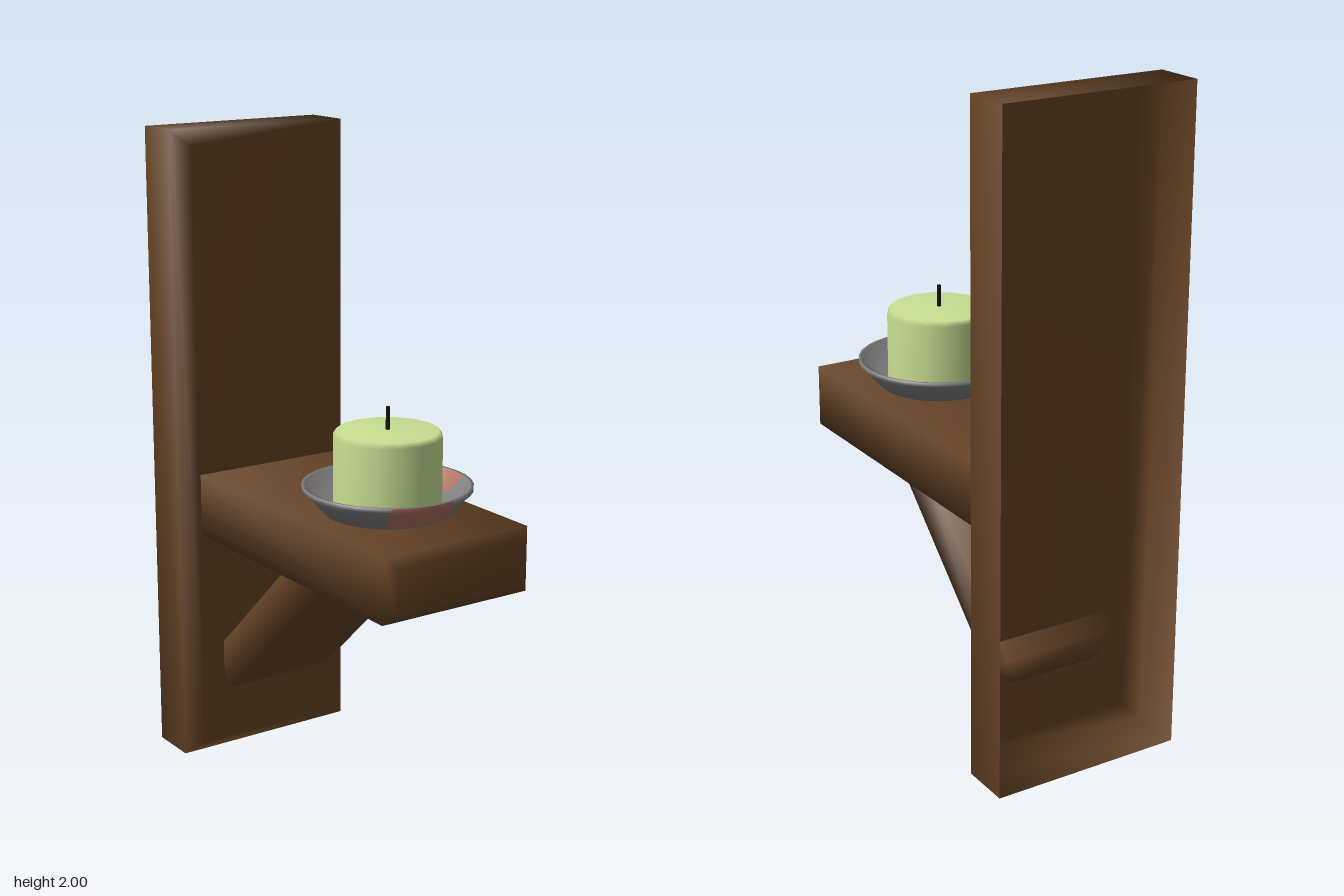
import * as THREE from 'three';

const material = (name, color, side = THREE.FrontSide) => {
  const m = new THREE.MeshStandardMaterial({ color, side });
  m.name = name;
  return m;
};

// Rectangular block lofted along z from rings of [inset, z]; corners share smooth normals.
function block(w, h, rings, closeBack) {
  const pos = [], idx = [];
  for (const [inset, z] of rings) {
    const x = w / 2 - inset, y = h / 2 - inset;
    pos.push(-x, -y, z, x, -y, z, x, y, z, -x, y, z);
  }
  for (let i = 0; i < rings.length - 1; i++) {
    for (let j = 0; j < 4; j++) {
      const a = i * 4 + j, b = i * 4 + (j + 1) % 4;
      idx.push(a, b, b + 4, a, b + 4, a + 4);
    }
  }
  const n = (rings.length - 1) * 4;
  idx.push(n, n + 1, n + 2, n, n + 2, n + 3);
  if (closeBack) idx.push(0, 2, 1, 0, 3, 2);
  const g = new THREE.BufferGeometry();
  g.setAttribute('position', new THREE.Float32BufferAttribute(pos, 3));
  g.setIndex(idx);
  g.computeVertexNormals();
  return g;
}

const lathe = (points, segments, from = 0, sweep = 360) =>
  new THREE.LatheGeometry(points.map(([r, y]) => new THREE.Vector2(r, y)), segments,
    THREE.MathUtils.degToRad(from), THREE.MathUtils.degToRad(sweep));

export function createModel() {
  const model = new THREE.Group();
  model.name = 'wallCandleShelf';
  const wood = material('brown wood', 0x644225, THREE.DoubleSide);
  const metal = material('grey metal', 0x808080);
  const rust = material('rust red', 0xb07060);
  const wax = material('pale green wax', 0xc8df92);
  const char = material('dark wick', 0x1c140c);

  const add = (parent, name, geometry, mat, x = 0, y = 0, z = 0) => {
    const mesh = new THREE.Mesh(geometry, mat);
    mesh.name = name;
    mesh.position.set(x, y, z);
    parent.add(mesh);
    return mesh;
  };

  // Backboard: hollow shell, open toward the wall, chamfered in front
  add(model, 'backboard', block(0.61, 2, [[0, -0.6], [0, -0.445], [0.045, -0.4]], false), wood, 0, 1, 0);

  // Shelf with chamfered front edge
  add(model, 'shelf', block(0.505, 0.195, [[0, -0.4], [0, 0.57], [0.03, 0.6]], false), wood, 0, 0.845, 0);

  // Slanted brace, chamfered at both ends, lower end pokes through the backboard
  const half = 0.378, c = 0.042;
  const brace = add(model, 'brace',
    block(0.36, 0.133, [[c, -half], [0, c - half], [0, half - c], [c, half]], true), wood, 0, 0.515, -0.155);
  brace.rotation.x = -0.755;

  // Candle and its dish share one centre
  const candleSet = new THREE.Group();
  candleSet.name = 'candleAndDish';
  candleSet.position.z = 0.24;
  model.add(candleSet);

  add(candleSet, 'dish', lathe([[0, 0.945], [0.186, 0.95], [0.235, 1.005], [0.25, 1.018],
    [0.25, 1.03], [0.24, 1.03], [0.17, 0.965], [0, 0.965]], 32), metal);

  // Rust patches: [start angle, sweep, inner radius, outer radius] on the inside slope
  const innerY = r => 0.968 + (r - 0.17) * 0.93;
  for (const [from, sweep, r0, r1] of [
    [-33, 45, 0.2, 0.24], [-112, 37, 0.18, 0.235], [75, 35, 0.187, 0.238],
    [110, 33, 0.175, 0.213], [187, 10, 0.17, 0.185],
  ]) {
    add(candleSet, 'innerRustPatch', lathe([[r1, innerY(r1)], [r0, innerY(r0)]], 8, from, sweep), rust);
  }
  // Rust patches on the outside slope
  const outerY = r => 0.95 + (r - 0.189) * 1.12;
  for (const [from, sweep, r0, r1] of [[-36, 52, 0.194, 0.238], [52, 14, 0.222, 0.238]]) {
    add(candleSet, 'outerRustPatch', lathe([[r0, outerY(r0)], [r1, outerY(r1)]], 8, from, sweep), rust);
  }
  add(candleSet, 'rimRustPatch', lathe([[0.24, 1.005], [0.252, 1.018], [0.252, 1.03]], 8, -33, 45), rust);

  // Candle with softened top edge
  add(candleSet, 'candle', lathe([[0.16, 0.96], [0.16, 1.175], [0.15, 1.19], [0, 1.192]], 16), wax);
  add(candleSet, 'wick', new THREE.BoxGeometry(0.009, 0.08, 0.009), char, 0, 1.22, 0);

  return model;
}
